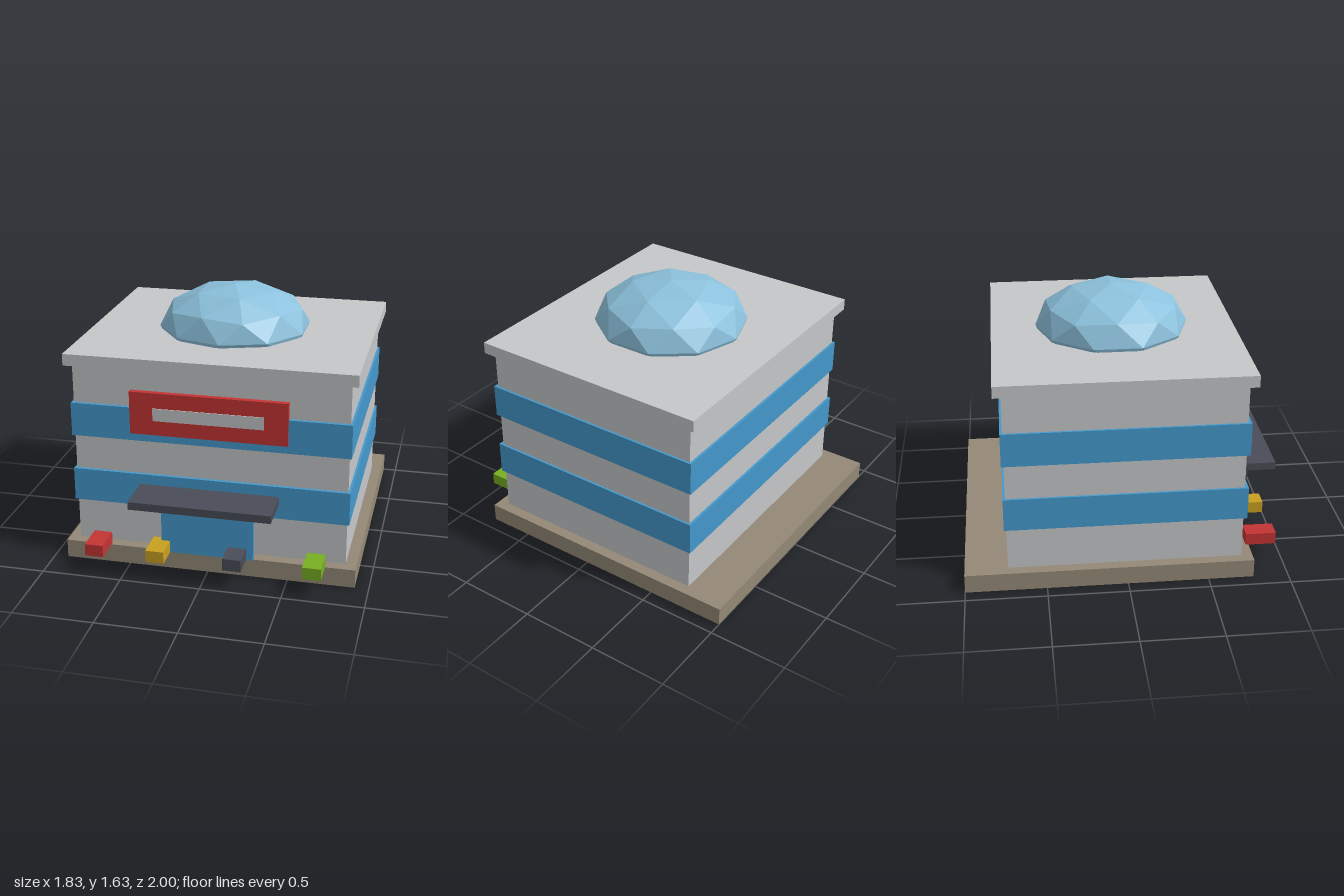
import * as THREE from 'three';

const material = (name, color) => {
  const m = new THREE.MeshStandardMaterial({ color });
  m.name = name;
  return m;
};

export function createModel() {
  const wall = material('pale grey', 0xc5c7c9);
  const blue = material('window blue', 0x4499cc);
  const red = material('red', 0xc53434);
  const dark = material('dark slate', 0x4a4d57);
  const stone = material('stone brown', 0x948976);
  const glass = material('dome glass', 0x8cc1dc);
  const yellow = material('yellow', 0xc8a020);
  const green = material('green', 0x76ae22);

  const group = new THREE.Group();
  group.name = 'building';

  // Box given by its limits on each axis
  const box = (name, mat, [x0, x1], [y0, y1], [z0, z1]) => {
    const mesh = new THREE.Mesh(new THREE.BoxGeometry(x1 - x0, y1 - y0, z1 - z0), mat);
    mesh.position.set((x0 + x1) / 2, (y0 + y1) / 2, (z0 + z1) / 2);
    mesh.name = name;
    group.add(mesh);
  };

  // Main block
  box('base', stone, [-0.915, 0.915], [0, 0.118], [-1, 0.782]);
  box('walls', wall, [-0.848, 0.848], [0.118, 1.28], [-0.735, 0.713]);
  box('roofSlab', wall, [-0.89, 0.89], [1.28, 1.353], [-0.782, 0.76]);

  // Window bands wrapping all four sides
  for (const [y0, y1] of [[0.39, 0.6], [0.823, 1.035]]) {
    box('windowBand', blue, [-0.862, 0.862], [y0, y1], [-0.75, 0.735]);
  }

  // Entrance and canopy
  box('entrance', blue, [-0.288, 0.288], [0.118, 0.486], [0.763, 0.799]);
  box('canopy', dark, [-0.435, 0.435], [0.486, 0.535], [0.715, 1]);

  // Blank sign
  box('signBoard', red, [-0.485, 0.485], [0.873, 1.142], [0.713, 0.748]);
  box('signPanel', wall, [-0.34, 0.34], [0.967, 1.046], [0.746, 0.754]);

  // Parked cars
  [[-0.678, red], [-0.292, yellow], [0.188, dark], [0.674, green]].forEach(([x, mat]) => {
    box('car', mat, [x - 0.057, x + 0.057], [0.118, 0.195], [0.763, 0.953]);
  });

  // Faceted dome: a flattened icosphere with one corner pointing up
  const domeGeo = new THREE.IcosahedronGeometry(1, 1);
  domeGeo.rotateX(-Math.atan((1 + Math.sqrt(5)) / 2));
  domeGeo.rotateY(Math.PI / 2);
  domeGeo.scale(0.4825, 0.262, 0.4825);
  domeGeo.computeVertexNormals();
  const dome = new THREE.Mesh(domeGeo, glass);
  dome.name = 'dome';
  dome.position.set(0, 1.373, -0.0175);
  group.add(dome);

  return group;
}
